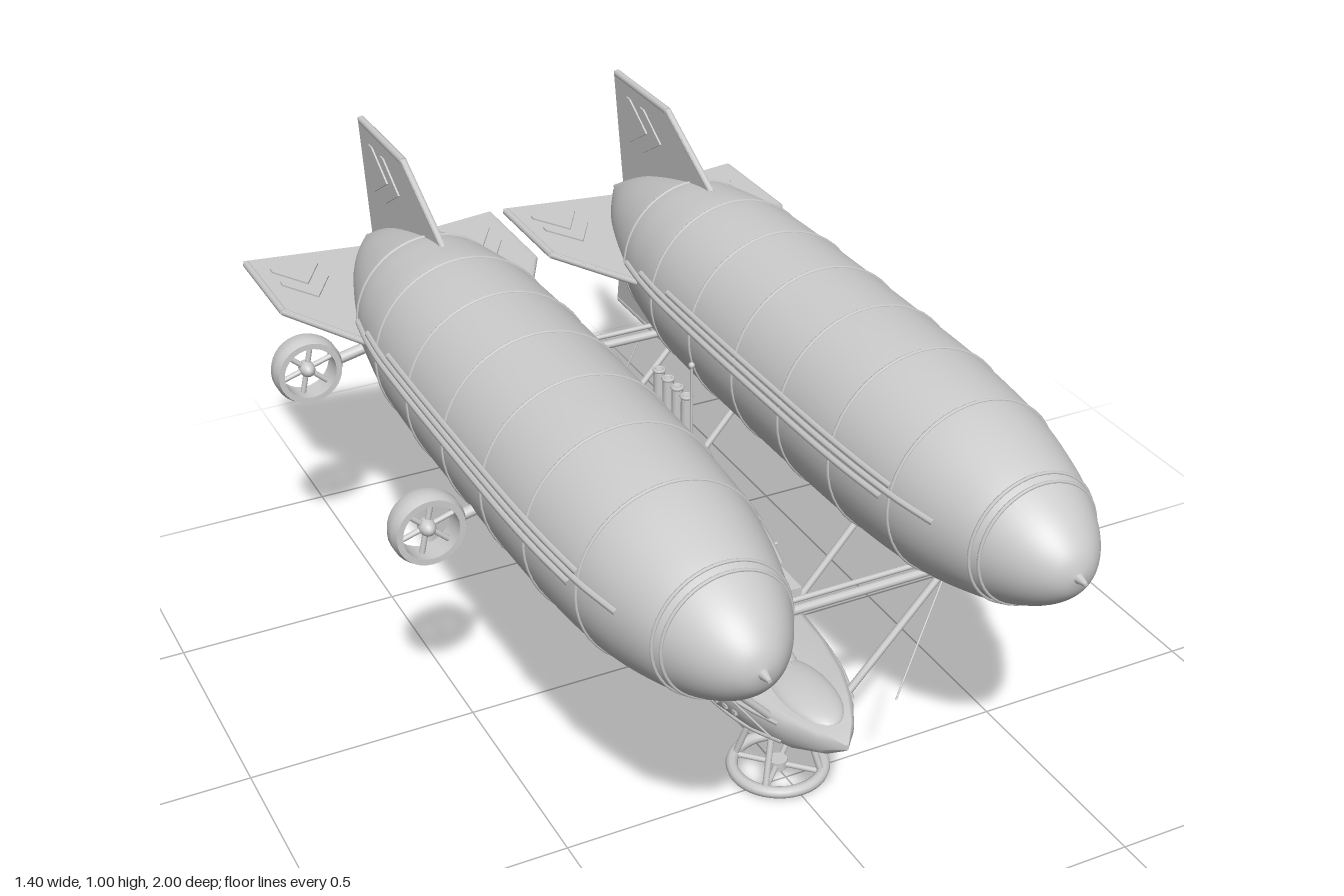
import * as THREE from 'three';
import { toCreasedNormals } from 'three/addons/utils/BufferGeometryUtils.js';

const V = (x, y, z) => new THREE.Vector3(x, y, z);
const grey = new THREE.MeshStandardMaterial({ color: 0xcccccc });
grey.name = 'hull grey';

function add(parent, name, geo, x = 0, y = 0, z = 0) {
  const m = new THREE.Mesh(geo, grey);
  m.name = name;
  m.position.set(x, y, z);
  parent.add(m);
  return m;
}
function rod(parent, name, a, b, r, r2 = r) {
  const d = b.clone().sub(a);
  const m = add(parent, name, new THREE.CylinderGeometry(r2, r, d.length(), 10));
  m.position.copy(a).addScaledVector(d, 0.5);
  m.quaternion.setFromUnitVectors(V(0, 1, 0), d.normalize());
  return m;
}
function box(parent, name, w, h, d, x, y, z) {
  return add(parent, name, new THREE.BoxGeometry(w, h, d), x, y, z);
}
// Linear lookup in rows sorted by column 0
function lookup(rows, t, col) {
  let i = 1;
  while (i < rows.length - 1 && rows[i][0] < t) i++;
  const a = rows[i - 1], b = rows[i];
  return a[col] + (b[col] - a[col]) * (t - a[0]) / (b[0] - a[0]);
}
function tube(parent, name, pts, r) {
  return add(parent, name, new THREE.TubeGeometry(new THREE.CatmullRomCurve3(pts), 40, r, 6));
}
// Flat plate drawn with x = outward distance, y = z of the ship
function plate(parent, name, pts, thick) {
  const s = new THREE.Shape(pts.map(p => new THREE.Vector2(...p)));
  const g = new THREE.ExtrudeGeometry(s, { depth: thick, bevelEnabled: false });
  return add(parent, name, g.translate(0, 0, -thick / 2).rotateX(Math.PI / 2));
}

// Envelope profile: [z, radius]
const envelope = new THREE.SplineCurve([
  [-1, 0.001], [-0.95, 0.032], [-0.8, 0.106], [-0.6, 0.17], [-0.48, 0.193], [-0.36, 0.206], [-0.15, 0.211],
  [0.2, 0.211], [0.42, 0.207], [0.62, 0.191], [0.76, 0.161], [0.85, 0.129], [0.92, 0.09], [0.965, 0.045], [0.98, 0.001],
].map(p => new THREE.Vector2(p[1], p[0]))).getPoints(70);
const envRows = envelope.map(p => [p.y, p.x]);

function makeFin(parent, angle) {
  const fin = new THREE.Group();
  fin.name = 'tailFin';
  plate(fin, 'finPanel', [[0.03, -0.94], [0.31, -0.985], [0.31, -0.705], [0.187, -0.472], [0.03, -0.472]], 0.014);
  rod(fin, 'finTipRail', V(0.305, 0, -0.705), V(0.305, 0, -0.98), 0.009);
  rod(fin, 'finLeadingRail', V(0.187, 0, -0.48), V(0.305, 0, -0.705), 0.008);
  for (const apex of [-0.725, -0.8])
    plate(fin, 'finChevron', [[0, 0], [0.055, -0.092], [0.055, -0.11], [0, -0.018], [-0.055, -0.11], [-0.055, -0.092]]
      .map(p => [p[0] + 0.215, p[1] + apex]), 0.022);
  fin.rotation.z = angle;
  parent.add(fin);
}

// Ducted fan facing along z
function makeFan(parent, x, y, z) {
  const f = new THREE.Group();
  f.name = 'ductedFan';
  f.position.set(x, y, z);
  const ring = new THREE.LatheGeometry([[0.06, -0.028], [0.073, -0.028], [0.079, -0.012], [0.079, 0.012],
    [0.073, 0.028], [0.06, 0.028], [0.06, -0.028]].map(p => new THREE.Vector2(...p)), 32);
  add(f, 'fanDuct', toCreasedNormals(ring.rotateX(Math.PI / 2), 0.6));
  add(f, 'fanHub', new THREE.SphereGeometry(0.018, 14, 10)).scale.z = 1.5;
  for (let i = 0; i < 6; i++) {
    const a = i * Math.PI / 3 + 0.3;
    rod(f, 'fanBlade', V(0, 0, 0), V(Math.cos(a) * 0.064, Math.sin(a) * 0.064, 0), 0.006);
  }
  parent.add(f);
}

function makeAirship(side) {
  const ship = new THREE.Group();
  ship.name = side > 0 ? 'leftEnvelope' : 'rightEnvelope';
  ship.position.set(side * 0.328, 0.687, 0);
  add(ship, 'envelopeSkin', new THREE.LatheGeometry(envelope, 48).rotateX(Math.PI / 2));
  for (const z of [0.845, 0.825, 0.62, 0.42, 0.22, 0.02, -0.18, -0.38, -0.58])
    add(ship, 'seamRing', new THREE.TorusGeometry(lookup(envRows, z, 1), 0.004, 6, 48), 0, 0, z);
  rod(ship, 'noseSpike', V(0, 0, 0.965), V(0, 0, 1), 0.014, 0.004);
  rod(ship, 'tailSpike', V(0, 0, -0.93), V(0, 0, -1), 0.016, 0.006);
  // Rails that follow the skin at a fixed angle
  const rail = (name, a, z0, z1, r) => {
    const pts = [];
    for (let i = 0; i <= 12; i++) {
      const z = z0 + (z1 - z0) * i / 12, d = lookup(envRows, z, 1) + 0.003;
      pts.push(V(Math.cos(a) * d, Math.sin(a) * d, z));
    }
    tube(ship, name, pts, r);
  };
  for (const [a, z0, z1] of [[0.28, 0.62, -0.3], [0.2, 0.74, -0.45], [0.11, 0.6, -0.55]]) {
    rail('sideRail', a, z0, z1, 0.007);
    rail('sideRail', Math.PI - a, z0, z1, 0.007);
  }
  rail('keelRail', -Math.PI / 2, 0.78, -0.75, 0.009);
  for (let i = 0; i < 4; i++) makeFin(ship, i * Math.PI / 2);
  for (const z of [0.125, -0.61]) {
    makeFan(ship, side * 0.292, -0.1, z);
    rod(ship, 'fanMount', V(side * 0.13, -0.075, z), V(side * 0.222, -0.095, z), 0.013);
  }
  return ship;
}

// Gondola stations: [z, half width, bottom, top]
const stations = [[-0.73, 0.105, 0.175, 0.262], [-0.66, 0.122, 0.155, 0.268], [-0.5, 0.138, 0.137, 0.27],
  [-0.2, 0.15, 0.134, 0.27], [0.25, 0.15, 0.134, 0.27], [0.42, 0.138, 0.138, 0.27], [0.53, 0.115, 0.15, 0.27],
  [0.62, 0.082, 0.172, 0.268], [0.69, 0.042, 0.202, 0.263], [0.735, 0.004, 0.236, 0.25]];
// Half cross-section: [height, width], both as fractions
const section = [[0, 0], [0.03, 0.45], [0.12, 0.7], [0.3, 0.88], [0.55, 0.98], [0.75, 1], [0.92, 0.95], [1, 0.84]];
const hullPoint = (s, z, h, out = 0) => V(
  s * (lookup(stations, z, 1) * lookup(section, h, 1) + out),
  lookup(stations, z, 2) * (1 - h) + lookup(stations, z, 3) * h, z);

function hullGeometry() {
  const loop = [...section, ...section.slice(1).reverse().map(p => [p[0], -p[1]])];
  const n = loop.length, pos = [], idx = [];
  for (const [z, w, b, t] of stations) for (const [h, k] of loop) pos.push(w * k, b + (t - b) * h, z);
  for (let i = 0; i < stations.length - 1; i++) for (let j = 0; j < n; j++) {
    const a = i * n + j, b = i * n + (j + 1) % n;
    idx.push(a, b, b + n, a, b + n, a + n);
  }
  const last = (stations.length - 1) * n;
  for (let j = 1; j < n - 1; j++) idx.push(0, j + 1, j, last, last + j, last + j + 1);
  const g = new THREE.BufferGeometry();
  g.setAttribute('position', new THREE.Float32BufferAttribute(pos, 3));
  g.setIndex(idx);
  return toCreasedNormals(g, 0.7);
}

function makeGondola() {
  const g = new THREE.Group();
  g.name = 'gondola';
  add(g, 'gondolaHull', hullGeometry());
  for (const s of [-1, 1]) {
    for (const h of [0.78, 0.28]) {
      const pts = [];
      for (let i = 0; i <= 16; i++) pts.push(hullPoint(s, -0.71 + i * 0.0825, h, 0.001));
      tube(g, 'hullRail', pts, 0.005);
    }
    for (let z = -0.62; z < 0.5; z += 0.03) {
      const p = hullPoint(s, z, 0.48);
      box(g, 'hullWindow', 0.008, 0.009, 0.014, p.x, p.y, p.z);
    }
    // Stern exhausts and side guns
    rod(g, 'exhaust', V(s * 0.052, 0.215, -0.7), V(s * 0.052, 0.212, -0.77), 0.023, 0.032);
    add(g, 'sideTurret', new THREE.SphereGeometry(0.024, 16, 10), s * 0.135, 0.265, 0.06);
    rod(g, 'sideGun', V(s * 0.14, 0.267, 0.06), V(s * 0.215, 0.267, 0.06), 0.004);
  }
  // Stepped superstructure: [half width, y0, y1, z0, z1]
  for (const [w, y0, y1, z0, z1] of [[0.124, 0.26, 0.34, -0.38, 0.33], [0.098, 0.33, 0.405, -0.27, 0.2],
    [0.072, 0.4, 0.465, -0.17, 0.108], [0.048, 0.46, 0.515, -0.115, 0.045]])
    box(g, 'deckTier', w * 2, y1 - y0, z1 - z0, 0, (y0 + y1) / 2, (z0 + z1) / 2);
  for (let i = 0; i < 4; i++) {
    const z = -0.09 + i * 0.043;
    rod(g, 'funnel', V(0, 0.5, z), V(0, 0.685, z), 0.015, 0.012);
    add(g, 'funnelRim', new THREE.TorusGeometry(0.011, 0.004, 6, 16).rotateX(Math.PI / 2), 0, 0.684, z);
  }
  rod(g, 'antenna', V(0, 0.5, 0.062), V(0, 0.765, 0.062), 0.003);
  add(g, 'antennaTip', new THREE.SphereGeometry(0.007, 10, 8), 0, 0.768, 0.062);
  // Deck turrets: [z, base height, barrel direction and length]
  for (const [z, y, len] of [[-0.52, 0.262, -0.13], [-0.33, 0.33, -0.115], [0.265, 0.33, 0.11], [0.45, 0.262, 0.1]]) {
    add(g, 'turretDome', new THREE.SphereGeometry(0.042, 20, 12), 0, y, z).scale.y = 0.8;
    for (const x of [-0.008, 0.008]) rod(g, 'turretGun', V(x, y + 0.02, z), V(x, y + 0.02, z + len), 0.0045);
  }
  add(g, 'canopy', new THREE.SphereGeometry(1, 28, 16), 0, 0.262, 0.56).scale.set(0.062, 0.027, 0.125);
  for (const z of [0.28, -0.21])
    add(g, 'bellyDome', new THREE.SphereGeometry(0.04, 18, 10), 0, 0.138, z).scale.y = 0.45;
  return g;
}

// Round landing pad on four splayed legs
function makeLandingGear(z, r) {
  const g = new THREE.Group();
  g.name = 'landingGear';
  g.position.z = z;
  add(g, 'padRing', new THREE.TorusGeometry(r - 0.013, 0.013, 10, 40).rotateX(Math.PI / 2), 0, 0.0145, 0);
  add(g, 'padHub', new THREE.CylinderGeometry(0.02, 0.02, 0.02, 16), 0, 0.017, 0);
  for (const a of [0.25, 0.75]) {
    const c = Math.cos(a * Math.PI) * (r - 0.013), s = Math.sin(a * Math.PI) * (r - 0.013);
    rod(g, 'padSpoke', V(-c, 0.016, -s), V(c, 0.016, s), 0.006);
  }
  for (const x of [-1, 1]) for (const k of [-1, 1])
    rod(g, 'gearLeg', V(x * 0.066, 0.018, k * 0.066), V(x * 0.032, 0.16, k * 0.032), 0.007);
  return g;
}

export function createModel() {
  const model = new THREE.Group();
  model.name = 'twinAirship';
  model.add(makeAirship(1), makeAirship(-1), makeGondola());
  for (const [z, r] of [[0.465, 0.11], [0, 0.121], [-0.455, 0.108]]) model.add(makeLandingGear(z, r));
  // Suspension frame
  for (const z of [0.585, 0.28, -0.27, -0.578]) {
    const end = Math.abs(z) > 0.5;
    for (const s of [-1, 1])
      rod(model, 'hangerStrut', V(s * 0.325, end ? 0.505 : 0.48, z), V(s * (end ? 0.09 : 0.125), 0.25, z), 0.008);
    if (end) {
      rod(model, 'crossBeam', V(-0.328, 0.49, z), V(0.328, 0.49, z), 0.01);
      rod(model, 'upperCrossBeam', V(-0.31, 0.514, z), V(0.31, 0.514, z), 0.006);
    }
  }
  for (const s of [-1, 1]) {
    rod(model, 'stayCable', V(s * 0.31, 0.5, 0.59), V(s * 0.14, 0.28, 0.685), 0.002);
    rod(model, 'stayCable', V(s * 0.2, 0.5, -0.585), V(s * 0.09, 0.26, -0.6), 0.002);
  }
  return model;
}
